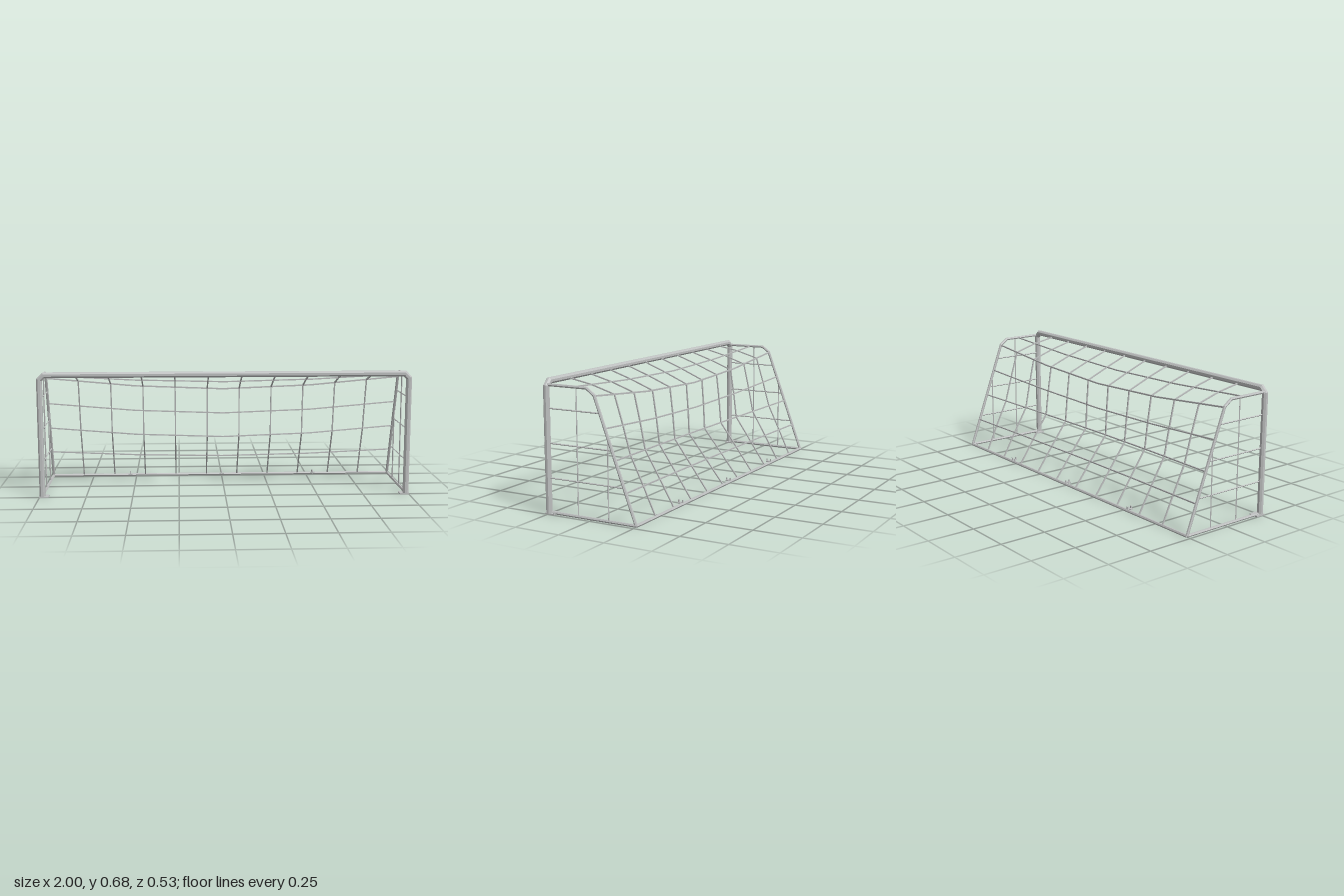
import * as THREE from 'three';

const V = (x, y, z) => new THREE.Vector3(x, y, z);
const metal = new THREE.MeshStandardMaterial({ name: 'lightGreyMetal', color: 0xbec0c0, flatShading: true });
const cord = new THREE.MeshStandardMaterial({ name: 'lightGreyCord', color: 0xbcbebe, flatShading: true });

// Prism swept along a polyline with mitred corners and capped ends
function sweep(points, radius, sides, ref, turn = 0) {
  const dirs = points.slice(1).map((p, i) => p.clone().sub(points[i]).normalize());
  const u = ref.clone().addScaledVector(dirs[0], -ref.dot(dirs[0])).normalize();
  const v = dirs[0].clone().cross(u);
  let ring = [];
  for (let s = 0; s < sides; s++) {
    const a = turn + s / sides * Math.PI * 2;
    ring.push(points[0].clone().addScaledVector(u, Math.cos(a) * radius).addScaledVector(v, Math.sin(a) * radius));
  }
  const pos = [], index = [];
  ring.forEach(p => pos.push(p.x, p.y, p.z));
  for (let i = 1; i < points.length; i++) {
    const d = dirs[i - 1];
    const n = i < dirs.length ? d.clone().add(dirs[i]).normalize() : d;
    ring = ring.map(p => p.clone().addScaledVector(d, points[i].clone().sub(p).dot(n) / d.dot(n)));
    ring.forEach(p => pos.push(p.x, p.y, p.z));
    for (let s = 0; s < sides; s++) {
      const a = (i - 1) * sides + s, b = (i - 1) * sides + (s + 1) % sides;
      index.push(a, b, b + sides, a, b + sides, a + sides);
    }
  }
  const last = (points.length - 1) * sides;
  for (let s = 1; s < sides - 1; s++) index.push(0, s + 1, s, last, last + s, last + s + 1);
  const geo = new THREE.BufferGeometry();
  geo.setAttribute('position', new THREE.Float32BufferAttribute(pos, 3));
  geo.setIndex(index);
  geo.computeVertexNormals();
  return geo;
}

export function createModel() {
  const goal = new THREE.Group();
  goal.name = 'goal';
  const add = (name, geo, mat, parent = goal) => {
    const m = new THREE.Mesh(geo, mat);
    m.name = name;
    parent.add(m);
    return m;
  };
  const box = (name, w, h, d, x, y, z) => add(name, new THREE.BoxGeometry(w, h, d), metal).position.set(x, y, z);
  const X = 0.983, xAxis = V(1, 0, 0), zAxis = V(0, 0, 1), flat = Math.PI / 4;

  // Octagonal posts and crossbar with cut corners
  add('frontFrame', sweep([
    V(-X, 0, 0.25), V(-X, 0.637, 0.25), V(-X + 0.024, 0.661, 0.25),
    V(X - 0.024, 0.661, 0.25), V(X, 0.637, 0.25), V(X, 0, 0.25),
  ], 0.0162, 8, zAxis, Math.PI / 8), metal);

  // Back ground bar
  add('backGroundBar', sweep([V(-X, 0.0085, -0.255), V(X, 0.0085, -0.255)], 0.008, 6, zAxis), metal);

  // Depth of the sloping rear tube at a given height
  const rearZ = y => -0.03 - (0.612 - y) * 0.225 / 0.604;

  for (const [side, x] of [['left', X], ['right', -X]]) {
    // Side tubes and foot plate
    add(side + 'SideFrame', sweep([
      V(x, 0.645, 0.25), V(x, 0.645, 0.015), V(x, 0.614, -0.028), V(x, 0.0085, -0.255),
    ], 0.008, 6, xAxis), metal);
    add(side + 'GroundBar', sweep([V(x, 0.0085, 0.25), V(x, 0.0085, -0.255)], 0.008, 6, xAxis), metal);
    box(side + 'FootPlate', 0.05, 0.007, 0.055, Math.sign(x) * 0.975, 0.0035, 0.2375);

    // Flat net on the side
    const net = new THREE.Group();
    net.name = side + 'SideNet';
    goal.add(net);
    for (const y of [0.183, 0.357, 0.53])
      add('sideRow', sweep([V(x, y, 0.24), V(x, y, rearZ(y))], 0.0038, 4, xAxis), cord, net);
    add('sideColumn', sweep([V(x, 0.008, 0.075), V(x, 0.642, 0.075)], 0.0038, 4, xAxis), cord, net);
    add('sideColumn', sweep([V(x, 0.008, -0.1), V(x, 0.424, -0.1)], 0.0038, 4, xAxis), cord, net);
  }

  // Sagging net rows: [height, depth] at the sides, then at the middle
  const rows = [
    [0.642, 0.107, 0.603, 0.107],
    [0.61, -0.026, 0.546, -0.026],
    [0.459, -0.086, 0.408, -0.034],
    [0.31, -0.141, 0.272, -0.038],
    [0.16, -0.2, 0.14, -0.148],
  ];
  const sag = x => {
    const a = Math.abs(x);
    return a < 0.49 ? 1 - 0.3 * a / 0.49 : 0.7 * (X - a) / (X - 0.49);
  };
  const onRow = ([y0, z0, y1, z1], x) => V(x, y0 + (y1 - y0) * sag(x), z0 + (z1 - z0) * sag(x));
  const backNet = new THREE.Group();
  backNet.name = 'backNet';
  goal.add(backNet);
  rows.forEach((row, i) => add('netRow', sweep(
    [-X, -0.49, 0, 0.49, X].map(x => onRow(row, x)), i === 1 ? 0.0055 : 0.0048, 4, zAxis, flat), cord, backNet));

  // Net columns from the crossbar over the rows to the ground
  for (let i = 0; i < 10; i++) {
    const x = (i - 4.5) * 0.179;
    add('netColumn', sweep(
      [V(x, 0.656, 0.24), ...rows.map(r => onRow(r, x)), V(x, 0.01, -0.255)], 0.0048, 4, xAxis, flat), cord, backNet);
  }

  // Small anchors on the back ground bar
  for (const x of [-0.535, 0, 0.535]) {
    box('anchorArm', 0.006, 0.005, 0.032, x, 0.0145, -0.241);
    box('anchorPlate', 0.024, 0.005, 0.016, x, 0.0145, -0.237);
    box('anchorFrontUpright', 0.006, 0.015, 0.006, x, 0.0215, -0.231);
    box('anchorBackUpright', 0.006, 0.015, 0.006, x, 0.0215, -0.254);
  }
  return goal;
}
